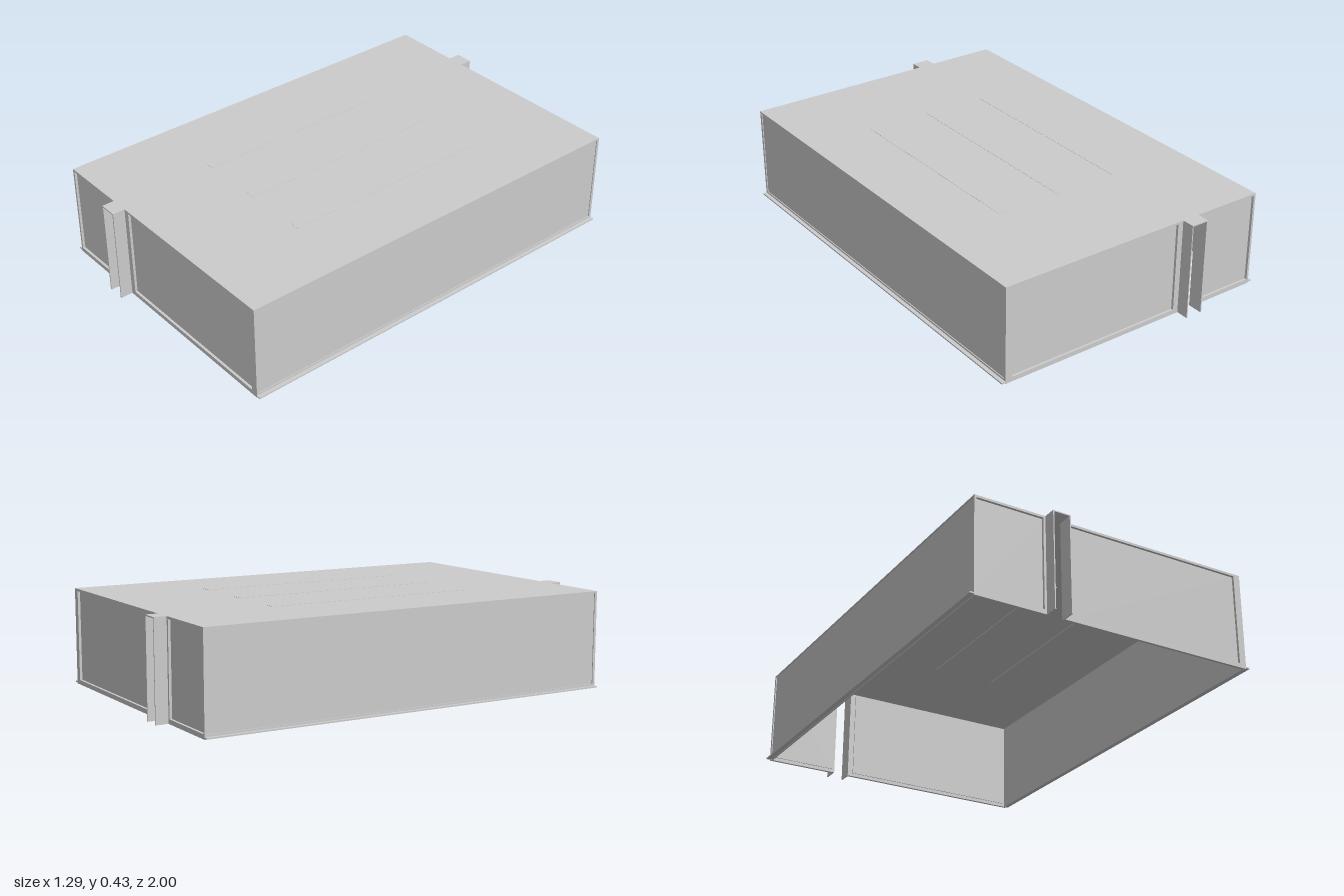
import * as THREE from 'three';

const H = 0.425, T = 0.005;      // overall height, sheet thickness
const ZF = 0.945, XW = 0.63;     // end face and side wall positions
const SLOT = [-0.31, -0.24];     // notch through both ends

export function createModel() {
  const model = new THREE.Group();
  const mat = new THREE.MeshStandardMaterial({ color: 0xcccccc, side: THREE.DoubleSide });

  // Box given by its limits on each axis
  function box(name, parent, x0, x1, y0, y1, z0, z1) {
    const m = new THREE.Mesh(new THREE.BoxGeometry(x1 - x0, y1 - y0, z1 - z0), mat);
    m.position.set((x0 + x1) / 2, (y0 + y1) / 2, (z0 + z1) / 2);
    m.name = name;
    parent.add(m);
    return m;
  }

  // Top sheet with a small tab over each notch
  const s = new THREE.Shape();
  const [a, b] = SLOT;
  [[-XW, -ZF], [a, -ZF], [a, -1], [b, -1], [b, -ZF], [XW, -ZF],
    [XW, ZF], [b, ZF], [b, 1], [a, 1], [a, ZF], [-XW, ZF]]
    .forEach(([x, y], i) => (i ? s.lineTo(x, y) : s.moveTo(x, y)));
  const top = new THREE.Mesh(new THREE.ExtrudeGeometry(s, { depth: T, bevelEnabled: false }), mat);
  top.rotation.x = -Math.PI / 2;
  top.position.y = H - T;
  top.name = 'topSheet';
  model.add(top);

  // Three long shallow stiffening strips in the top
  for (const x of [-0.285, 0.005, 0.297]) {
    box('topStrip', model, x - 0.025, x + 0.025, H - 0.009, H + 0.001, -0.475, 0.49);
  }

  // Side walls with a foot lip and narrow folded ends
  for (const side of [-1, 1]) {
    const wall = new THREE.Group();
    wall.name = side > 0 ? 'leftWall' : 'rightWall';
    const span = (name, x0, x1, ...r) =>
      box(name, wall, Math.min(side * x0, side * x1), Math.max(side * x0, side * x1), ...r);
    span('wallSheet', 0.62, 0.626, 0, H - T, -ZF, ZF);
    span('footLip', 0.62, 0.647, 0.004, 0.01, -ZF, ZF);
    span('lowerFold', 0.62, XW, 0.01, 0.018, -ZF, ZF);
    for (const e of [-1, 1]) {
      span('endFold', 0.62, XW, 0, H - T, e * 0.94 - T, e * 0.94 + T);
    }
    model.add(wall);
  }

  // Recessed end panel inside a thin rectangular frame
  function endPanel(parent, x0, x1, i0, i1) {
    const frame = new THREE.Shape();
    frame.moveTo(x0, 0).lineTo(x1, 0).lineTo(x1, H - T).lineTo(x0, H - T).closePath();
    const hole = new THREE.Path();
    hole.moveTo(i0, 0.02).lineTo(i0, 0.415).lineTo(i1, 0.415).lineTo(i1, 0.02).closePath();
    frame.holes.push(hole);
    const m = new THREE.Mesh(new THREE.ExtrudeGeometry(frame, { depth: 0.012, bevelEnabled: false }), mat);
    m.position.z = ZF - 0.012;
    m.name = 'panelFrame';
    parent.add(m);
    box('panelSheet', parent, i0 - T, i1 + T, 0.015, 0.418, ZF - 0.016, ZF - 0.011);
  }

  // Both ends share one layout, mirrored in z by flipping the geometry
  for (const e of [1, -1]) {
    const end = new THREE.Group();
    end.name = e > 0 ? 'frontEnd' : 'backEnd';
    endPanel(end, -XW, a, -0.62, -0.325);
    endPanel(end, b, XW, -0.21, 0.6);
    // Flanges standing out along the notch
    box('notchFlange', end, a - T, a, 0, H, ZF - 0.012, 1);
    box('notchFlange', end, b, b + T, 0, H, ZF - 0.012, 1);
    end.scale.z = e;
    model.add(end);
  }
  return model;
}
